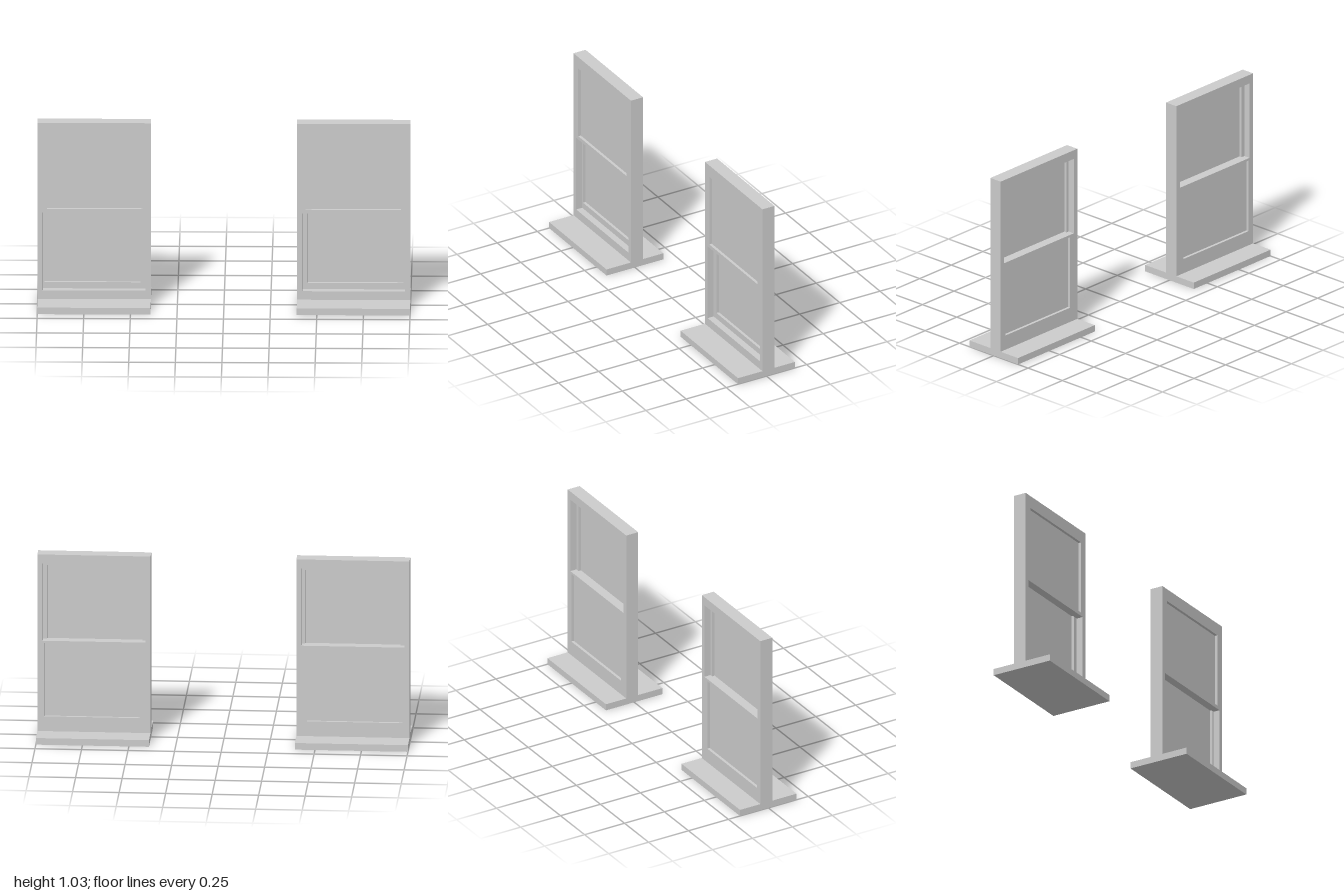
import * as THREE from 'three';

const material = new THREE.MeshStandardMaterial({ color: 0xcccccc, flatShading: true });

function addMesh(group, name, geometry) {
  const mesh = new THREE.Mesh(geometry, material);
  mesh.name = name;
  group.add(mesh);
}

// Rectangles are [x0, x1, y0, y1]
function trace(path, [x0, x1, y0, y1]) {
  path.moveTo(x0, y0);
  path.lineTo(x1, y0);
  path.lineTo(x1, y1);
  path.lineTo(x0, y1);
  path.closePath();
  return path;
}

// Rectangular border between an outer and an inner rectangle, from z0 to z1
function border(outer, inner, z0, z1) {
  const shape = trace(new THREE.Shape(), outer);
  shape.holes.push(trace(new THREE.Path(), inner));
  return new THREE.ExtrudeGeometry(shape, { depth: z1 - z0, bevelEnabled: false }).translate(0, 0, z0);
}

function slab([x0, x1, y0, y1], z0, z1) {
  return new THREE.BoxGeometry(x1 - x0, y1 - y0, z1 - z0)
    .translate((x0 + x1) / 2, (y0 + y1) / 2, (z0 + z1) / 2);
}

function makeWindow(side) {
  const group = new THREE.Group();
  group.name = side > 0 ? 'leftWindow' : 'rightWindow';
  const rect = (a, b, y0, y1) => (side > 0 ? [a, b, y0, y1] : [-b, -a, y0, y1]);
  const back = -0.05, middle = -0.0125, front = 0.025;

  // Sill and outer frame
  addMesh(group, 'sill', slab(rect(0.392, 1, 0, 0.037), -0.177, 0.177));
  addMesh(group, 'frame', border(rect(0.392, 1, 0.037, 1.03), rect(0.42, 0.972, 0.085, 0.98), back, front));

  // Upper sash sits in the front track, lower sash in the back track
  const sashes = [
    ['upper', rect(0.42, 0.972, 0.525, 0.98), rect(0.437, 0.95, 0.545, 0.96), middle, front],
    ['lower', rect(0.42, 0.972, 0.085, 0.545), rect(0.449, 0.963, 0.12, 0.532), back, middle],
  ];
  for (const [name, outer, inner, z0, z1] of sashes) {
    const mid = (z0 + z1) / 2;
    addMesh(group, name + 'Sash', border(outer, inner, z0, z1));
    addMesh(group, name + 'Pane', slab(inner, mid - 0.003, mid + 0.003));
  }
  return group;
}

export function createModel() {
  const model = new THREE.Group();
  model.name = 'sashWindowPair';
  for (const side of [-1, 1]) model.add(makeWindow(side));
  return model;
}
